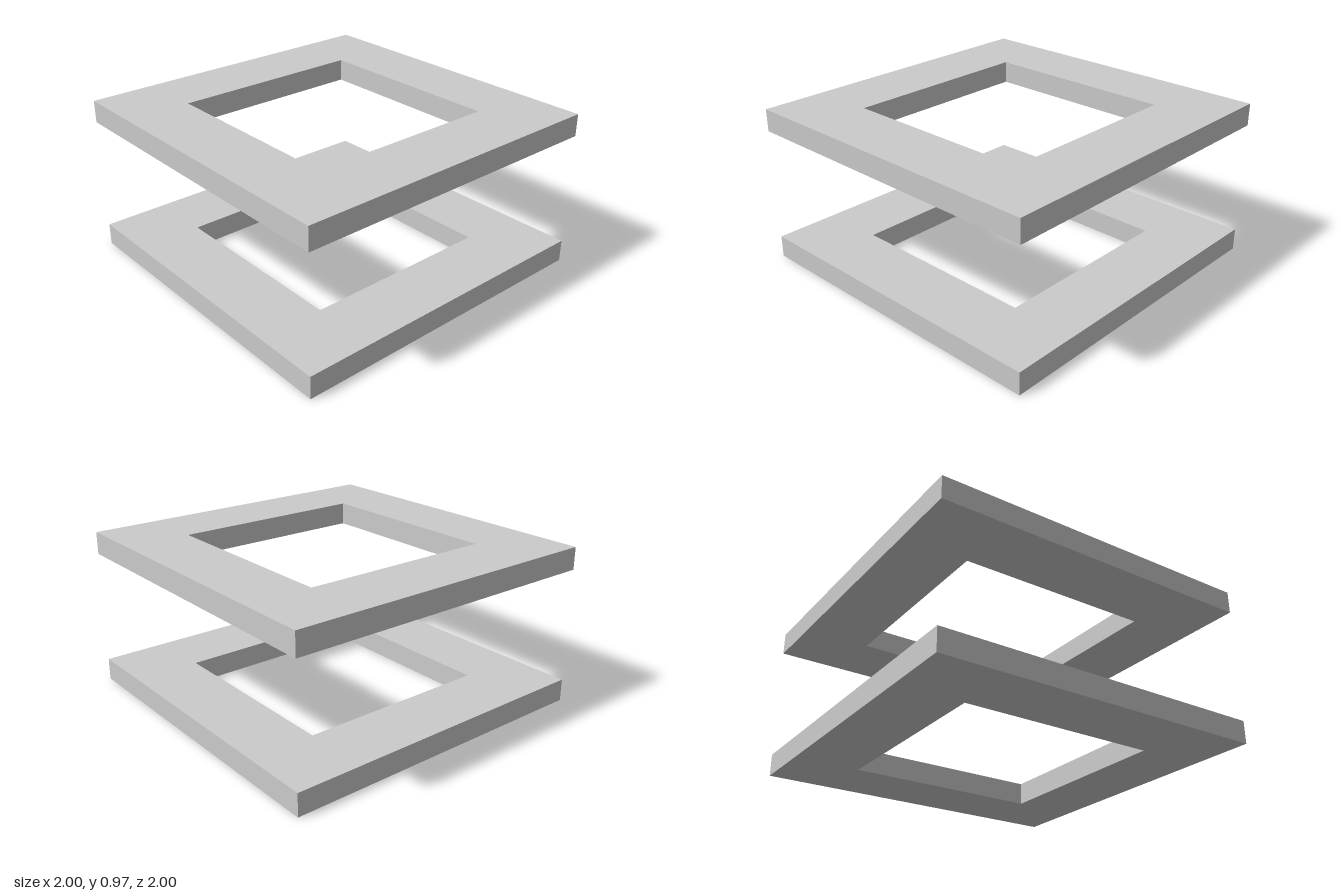
import * as THREE from 'three';

const THICKNESS = 0.137;

// Closed square outline with the given half-width
function square(half, Type) {
  const path = new Type();
  path.moveTo(-half, -half);
  path.lineTo(half, -half);
  path.lineTo(half, half);
  path.lineTo(-half, half);
  path.closePath();
  return path;
}

export function createModel() {
  const group = new THREE.Group();
  group.name = 'stackedFrames';
  const material = new THREE.MeshStandardMaterial({ color: 0xcccccc });

  // Flat square frame with a square opening, laid horizontally
  const outline = square(1, THREE.Shape);
  outline.holes.push(square(0.6, THREE.Path));
  const geometry = new THREE.ExtrudeGeometry(outline, { depth: THICKNESS, bevelEnabled: false });
  geometry.rotateX(-Math.PI / 2);

  // Two identical frames, one floating above the other
  for (const [name, y] of [['lowerFrame', 0], ['upperFrame', 0.837]]) {
    const frame = new THREE.Mesh(geometry, material);
    frame.name = name;
    frame.position.y = y;
    group.add(frame);
  }
  return group;
}
